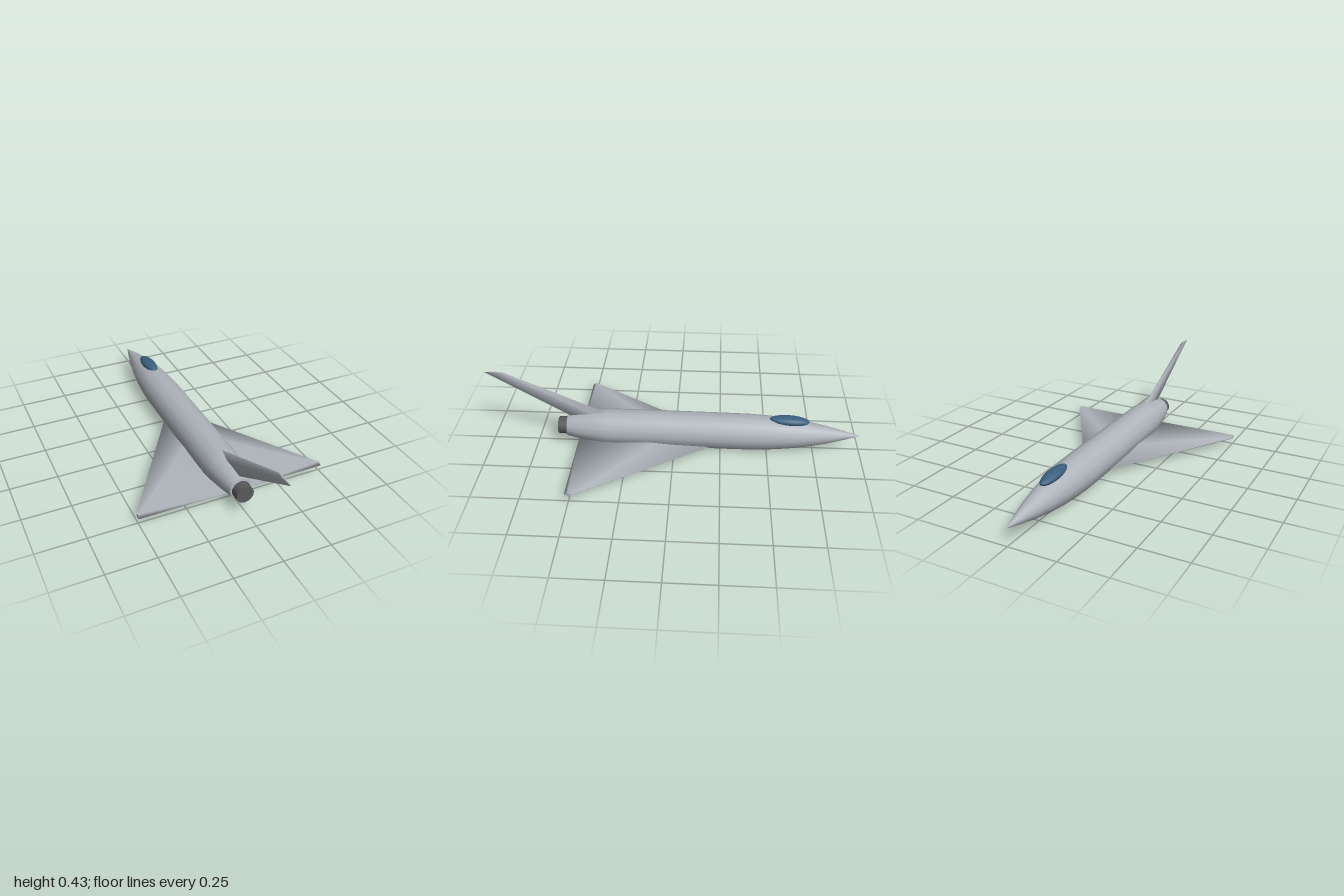
import * as THREE from 'three';

// Smooth four-point blade lofted between two stations; each station is [LE, top, TE, bottom].
function blade(root, tip) {
  const pos = [...root, ...tip].flat();
  const idx = [];
  for (let i = 0; i < 4; i++) {
    const j = (i + 1) % 4;
    idx.push(i, i + 4, j, j, i + 4, j + 4);
  }
  const skin = new THREE.BufferGeometry();
  skin.setAttribute('position', new THREE.Float32BufferAttribute(pos, 3));
  skin.setIndex(idx);
  skin.computeVertexNormals();
  // Flat cap on the tip, with its own corners
  const cap = new THREE.BufferGeometry();
  cap.setAttribute('position', new THREE.Float32BufferAttribute(tip.flat(), 3));
  cap.setIndex([0, 3, 1, 1, 3, 2]);
  cap.computeVertexNormals();
  return [skin, cap];
}

export function createModel() {
  const model = new THREE.Group();
  model.name = 'jetAircraft';
  const mat = (name, color, side = THREE.FrontSide) =>
    Object.assign(new THREE.MeshStandardMaterial({ color, side }), { name });
  const grey = mat('airframeGrey', 0xaeb5bb, THREE.DoubleSide);
  const blue = mat('canopyBlue', 0x3a607f);
  const dark = mat('exhaustDark', 0x58595c);

  const add = (name, geometry, material, parent = model) => {
    const mesh = new THREE.Mesh(geometry, material);
    mesh.name = name;
    parent.add(mesh);
    return mesh;
  };

  // Fuselage: fourteen-sided turned body, [radius, z], with a slightly rising axis
  const profile = [
    [0, -1], [0.025, -0.91], [0.05, -0.81], [0.069, -0.71], [0.083, -0.61],
    [0.092, -0.51], [0.097, -0.4], [0.098, -0.25], [0.098, 0.1], [0.096, 0.36],
    [0.089, 0.42], [0.077, 0.5], [0.059, 0.578], [0.057, 0.582], [0.03, 0.583],
  ].map(([r, z]) => new THREE.Vector2(r, z));
  const body = new THREE.LatheGeometry(profile, 14, Math.PI / 14);
  body.rotateX(Math.PI / 2);
  const p = body.attributes.position;
  for (let i = 0; i < p.count; i++) p.setY(i, p.getY(i) + 0.102 + 0.008 * p.getZ(i));
  add('fuselage', body, grey);

  // Exhaust nozzle
  const nozzle = new THREE.CylinderGeometry(0.046, 0.05, 0.09, 14);
  nozzle.rotateX(Math.PI / 2);
  add('exhaustNozzle', nozzle, dark).position.set(0, 0.103, 0.585);

  // Canopy bubble
  const canopy = add('canopy', new THREE.SphereGeometry(1, 20, 14), blue);
  canopy.scale.set(0.037, 0.024, 0.107);
  canopy.position.set(0, 0.181, -0.615);
  canopy.rotation.x = -0.06;

  // Delta wings, mirrored by the sign of x
  for (const s of [1, -1]) {
    const wing = new THREE.Group();
    wing.name = s > 0 ? 'leftWing' : 'rightWing';
    const station = (x, le, mid, y, half) => [
      [s * x, y, le], [s * x, y + half, mid], [s * x, y, 0.52], [s * x, y - half, mid],
    ];
    const parts = blade(station(0.03, -0.27, 0.05, 0.044, 0.028),
      station(0.5, 0.48, 0.5, 0.045, 0.011));
    parts.forEach((g, i) => {
      // Keep the corner order outward on both sides
      if (s < 0) {
        g.setIndex(Array.from(g.index.array).reverse());
        g.computeVertexNormals();
      }
      g.setIndex(Array.from(g.index.array).reverse());
      g.computeVertexNormals();
      add(i ? 'wingTip' : 'wingSkin', g, grey, wing);
    });
    model.add(wing);
  }

  // Swept tail fin
  const fin = new THREE.Group();
  fin.name = 'tailFin';
  const finStation = (y, le, te, half) => {
    const mid = le + (te - le) * 0.4;
    return [[0, y, le], [half, y, mid], [0, y, te], [-half, y, mid]];
  };
  blade(finStation(0.15, 0.27, 0.535, 0.012), finStation(0.43, 0.9, 1.0, 0.005))
    .forEach((g, i) => add(i ? 'finTip' : 'finSkin', g, grey, fin));
  model.add(fin);

  return model;
}
